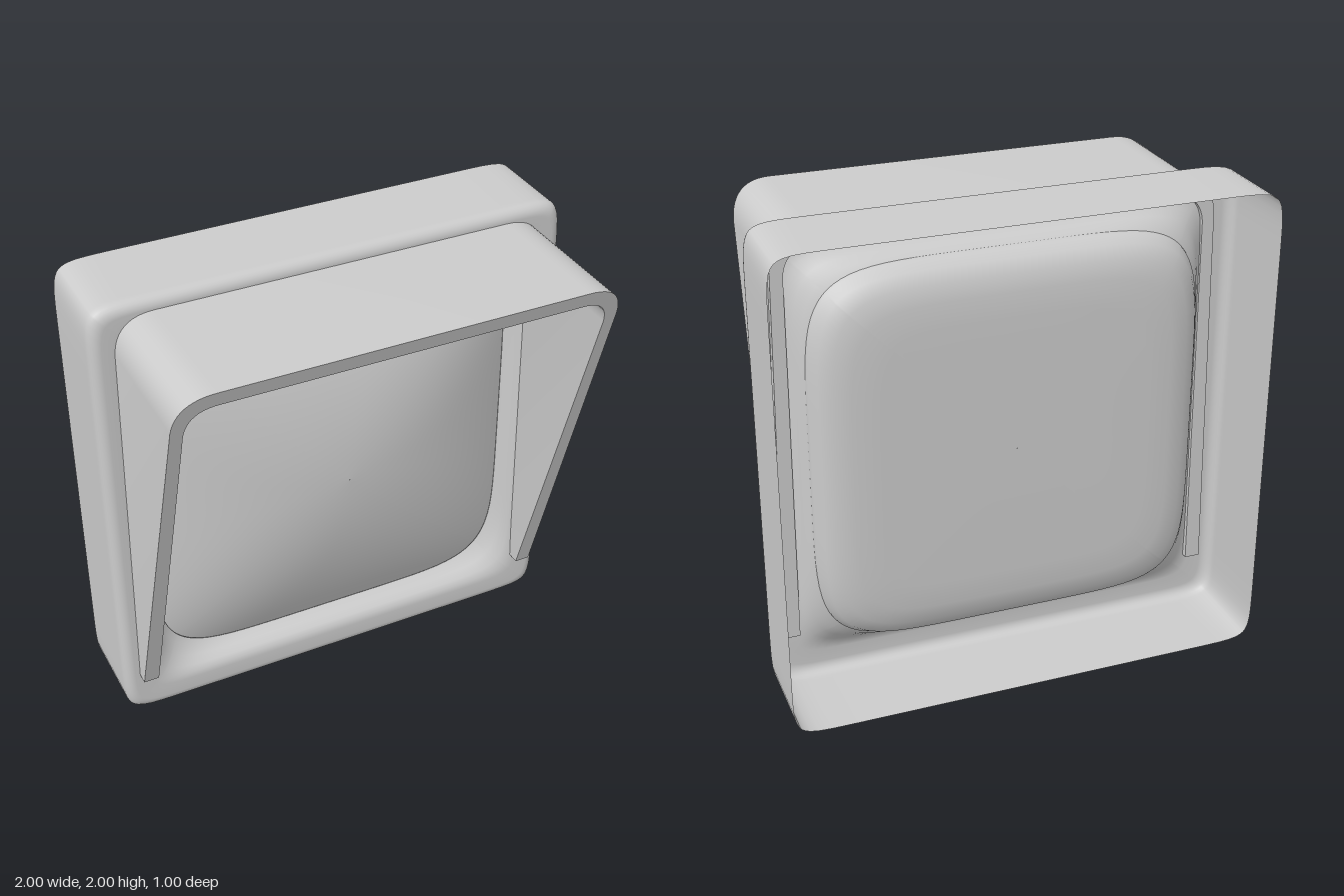
import * as THREE from 'three';
import { toCreasedNormals } from 'three/addons/utils/BufferGeometryUtils.js';

const material = new THREE.MeshStandardMaterial({ color: 0xcccccc, side: THREE.DoubleSide });

// Angles around a ring, packed more closely towards the four corners
const STEPS = 16;
const angles = [];
for (let octant = 0; octant < 8; octant++) {
  for (let i = 0; i < STEPS; i++) {
    const s = i / STEPS;
    const t = octant % 2 ? s * s : 1 - (1 - s) * (1 - s);
    angles.push((octant + t) * Math.PI / 4);
  }
}

// Surface through square-ish rings [half size, squareness, z], listed back to front
function loft(rings) {
  const positions = [], index = [], count = angles.length;
  for (const [half, n, z] of rings) {
    for (const a of angles) {
      const c = Math.cos(a), s = Math.sin(a);
      const r = half / Math.pow(Math.abs(c) ** n + Math.abs(s) ** n, 1 / n);
      positions.push(r * c, r * s, z);
    }
  }
  for (let i = 0; i < rings.length - 1; i++) {
    for (let j = 0; j < count; j++) {
      const k = (j + 1) % count;
      const a = i * count + j, b = i * count + k, c = b + count, d = a + count;
      index.push(a, b, c, a, c, d);
    }
  }
  const geometry = new THREE.BufferGeometry();
  geometry.setAttribute('position', new THREE.Float32BufferAttribute(positions, 3));
  geometry.setIndex(index);
  geometry.computeVertexNormals();
  return geometry;
}

function part(name, geometry) {
  const mesh = new THREE.Mesh(geometry, material);
  mesh.name = name;
  return mesh;
}

// Open-backed housing: side walls, rounded front rim and sloping recess
function housingGeometry() {
  const rings = [[1, 24, -0.5], [1, 24, -0.3], [1, 24, -0.16]];
  for (let i = 0; i <= 6; i++) {
    const a = i / 6 * Math.PI / 2;
    rings.push([0.955 + 0.045 * Math.cos(a), 24, -0.145 + 0.045 * Math.sin(a)]);
  }
  rings.push([0.9, 18, -0.1], [0.875, 15, -0.105], [0.855, 12, -0.12],
    [0.835, 9, -0.15], [0.82, 7, -0.185], [0.79, 6, -0.21]);
  return loft(rings);
}

// Cushion-shaped lens: shallow tray behind, dome in front
function lensGeometry() {
  const rings = [[0.001, 6, -0.31], [0.55, 6, -0.31], [0.66, 6, -0.305],
    [0.73, 6, -0.29], [0.78, 6, -0.26], [0.805, 6, -0.215]];
  for (let i = 0; i <= 16; i++) {
    const s = Math.max(0.001, Math.cos(i / 16 * Math.PI / 2));
    rings.push([0.81 * s, 2 + 4 * s * s, -0.19 + 0.19 * (1 - s * s)]);
  }
  return loft(rings);
}

// Hood: an arch-shaped band whose front is cut on a slant
function hoodGeometry() {
  const bottom = 0.21, back = -0.13;
  const shape = new THREE.Shape();
  shape.moveTo(-0.935, bottom);
  shape.lineTo(-0.905, 1.8);
  shape.quadraticCurveTo(-0.895, 1.95, -0.74, 1.95);
  shape.lineTo(0.74, 1.95);
  shape.quadraticCurveTo(0.895, 1.95, 0.905, 1.8);
  shape.lineTo(0.935, bottom);
  shape.lineTo(0.87, bottom);
  shape.lineTo(0.855, 1.77);
  shape.quadraticCurveTo(0.845, 1.885, 0.73, 1.885);
  shape.lineTo(-0.73, 1.885);
  shape.quadraticCurveTo(-0.845, 1.885, -0.855, 1.77);
  shape.lineTo(-0.87, bottom);
  shape.closePath();
  const geometry = new THREE.ExtrudeGeometry(shape, { depth: 1, bevelEnabled: false, curveSegments: 12 });
  const p = geometry.attributes.position;
  for (let i = 0; i < p.count; i++) {
    const front = -0.05 + (p.getY(i) - bottom) / (1.95 - bottom) * 0.55;
    p.setZ(i, back + p.getZ(i) * (front - back));
  }
  return toCreasedNormals(geometry, 0.6);
}

export function createModel() {
  const model = new THREE.Group();
  model.name = 'signalLamp';

  const housing = part('housing', housingGeometry());
  housing.position.y = 1;
  const lens = part('lens', lensGeometry());
  lens.position.y = 1;
  const hood = part('hood', hoodGeometry());

  model.add(housing, lens, hood);
  return model;
}
